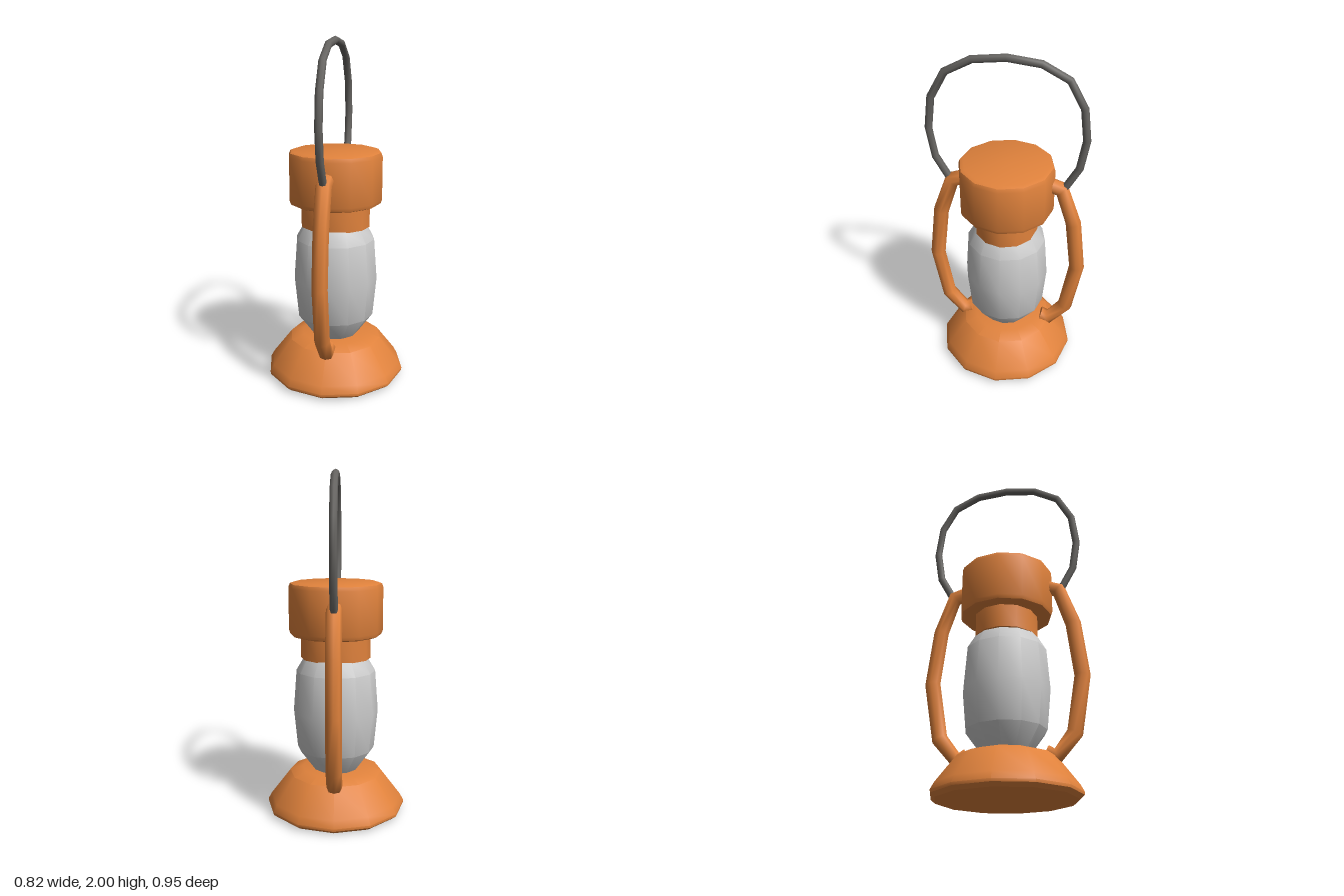
import * as THREE from 'three';
import { toCreasedNormals } from 'three/addons/utils/BufferGeometryUtils.js';

const SIDES = 12;
const orange = new THREE.MeshStandardMaterial({ color: 0xe0823c });
const steel = new THREE.MeshStandardMaterial({ color: 0x666461 });
const grey = new THREE.MeshStandardMaterial({ color: 0xcccccc });

// Straight-segmented path whose joints fall exactly on the given [z, y] points
class Polyline extends THREE.Curve {
  constructor(points) {
    super();
    this.points = points.map(([z, y]) => new THREE.Vector3(0, y, z));
  }
  getPointAt(u, target = new THREE.Vector3()) {
    const t = u * (this.points.length - 1);
    const i = Math.min(Math.floor(t + 1e-6), this.points.length - 2);
    return target.lerpVectors(this.points[i], this.points[i + 1], t - i);
  }
  getTangentAt(u, target = new THREE.Vector3()) {
    const last = this.points.length - 1;
    const i = Math.round(u * last);
    const p = this.points;
    target.set(0, 0, 0);
    if (i > 0) target.add(p[i].clone().sub(p[i - 1]).normalize());
    if (i < last) target.add(p[i + 1].clone().sub(p[i]).normalize());
    return target.normalize();
  }
}

function named(name, geometry, material) {
  const mesh = new THREE.Mesh(geometry, material);
  mesh.name = name;
  return mesh;
}

// Turned part from a [radius, height] profile, listed bottom to top
function turned(name, profile, material) {
  const points = profile.map(([r, y]) => new THREE.Vector2(r, y));
  return named(name, toCreasedNormals(new THREE.LatheGeometry(points, SIDES), 0.65), material);
}

// Bent rod with a closed disc at each end
function rod(name, points, radius, sides, material) {
  const path = new Polyline(points);
  const group = new THREE.Group();
  group.name = name;
  group.add(named(name + 'Tube', new THREE.TubeGeometry(path, points.length - 1, radius, sides), material));
  for (const u of [0, 1]) {
    const cap = named(name + 'End', new THREE.CircleGeometry(radius, sides), material);
    const out = path.getTangentAt(u).multiplyScalar(u ? 1 : -1);
    cap.position.copy(path.getPointAt(u));
    cap.quaternion.setFromUnitVectors(new THREE.Vector3(0, 0, 1), out);
    group.add(cap);
  }
  return group;
}

export function createModel() {
  const lantern = new THREE.Group();
  lantern.name = 'lantern';

  // Foot
  lantern.add(turned('base', [
    [0, 0], [0.385, 0.005], [0.41, 0.025], [0.412, 0.04], [0.39, 0.08],
    [0.275, 0.23], [0.2, 0.255], [0, 0.255],
  ], orange));

  // Glass globe
  lantern.add(turned('glass', [
    [0, 0.24], [0.125, 0.24], [0.228, 0.38], [0.25, 0.61], [0.232, 0.85], [0.185, 0.93], [0, 0.93],
  ], grey));

  // Collar, slightly narrower front to back
  const collar = turned('collar', [[0, 0.925], [0.204, 0.925], [0.204, 1.08], [0, 1.08]], orange);
  collar.scale.z = 0.9;
  lantern.add(collar);

  // Cap with softened rims
  lantern.add(turned('cap', [
    [0, 1.06], [0.245, 1.06], [0.266, 1.068], [0.274, 1.09],
    [0.274, 1.34], [0.266, 1.362], [0.245, 1.37], [0, 1.37],
  ], orange));

  // Bowed side arms, front and back
  const arm = [[0.22, 0.25], [0.275, 0.232], [0.375, 0.355], [0.43, 0.68], [0.392, 1.0], [0.315, 1.225], [0.22, 1.255]];
  for (const [name, s] of [['frontArm', 1], ['backArm', -1]]) {
    lantern.add(rod(name, arm.map(([z, y]) => [z * s, y]), 0.045, 8, orange));
  }

  // Carrying handle, mirrored about its top
  const half = [[0.325, 1.225], [0.405, 1.37], [0.433, 1.545], [0.41, 1.73], [0.327, 1.88], [0.182, 1.957]];
  const mirrored = half.map(([z, y]) => [-z, y]).reverse();
  lantern.add(rod('handle', [...half, [0, 1.978], ...mirrored], 0.022, 8, steel));

  return lantern;
}
